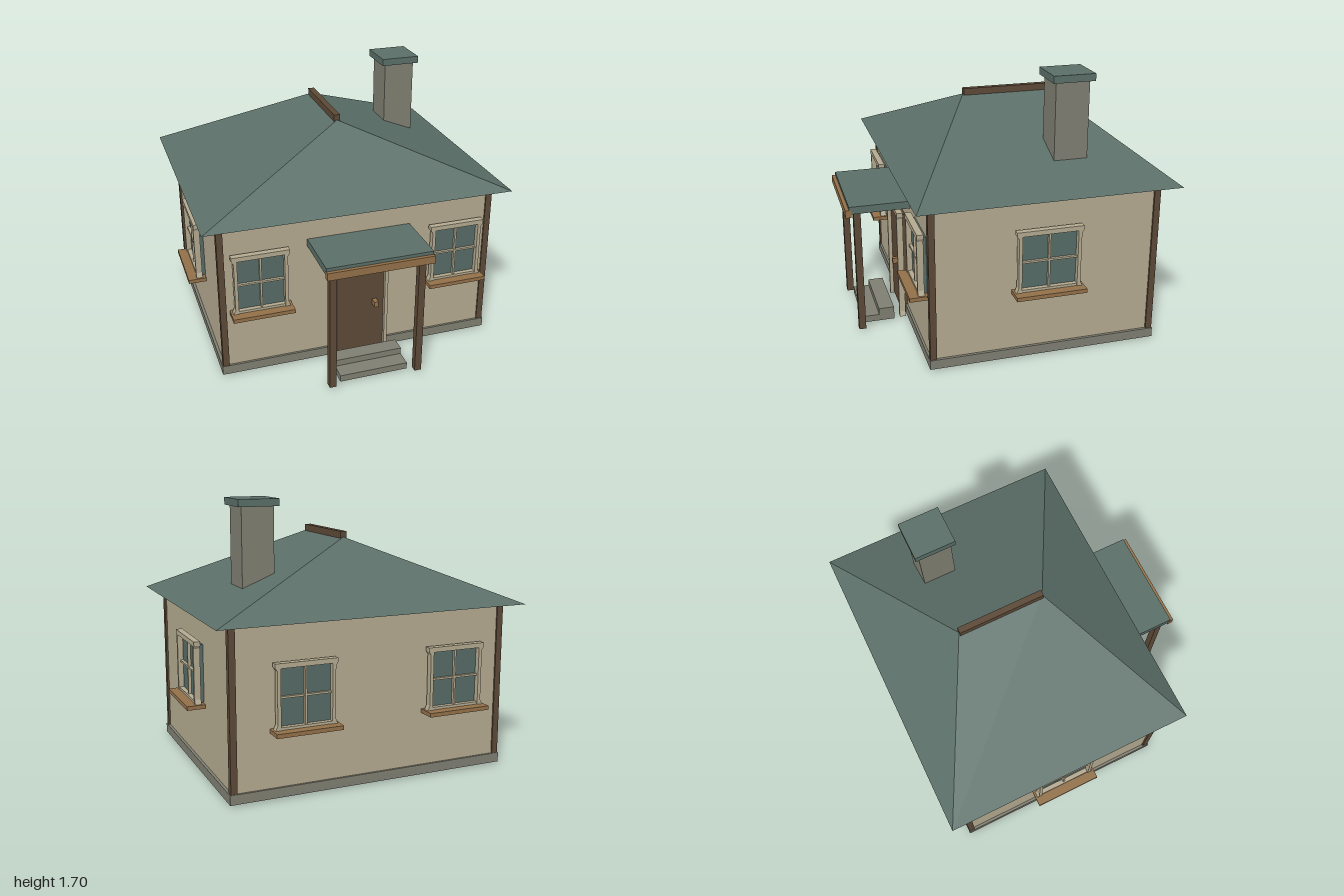
import * as THREE from 'three';

const mat = (name, color) => {
  const m = new THREE.MeshStandardMaterial({ color });
  m.name = name;
  return m;
};

export function createModel() {
  const plaster = mat('plaster', 0xb3a98f);
  const slate = mat('slate green', 0x5a6e67);
  const timber = mat('dark timber', 0x5c4937);
  const sillWood = mat('light wood', 0x927049);
  const stone = mat('stone', 0x7f7e71);
  const glass = mat('glass', 0x566b66);

  const house = new THREE.Group();
  house.name = 'cottage';

  // Box given by its minimum and maximum on each axis
  function box(name, material, [x0, x1], [y0, y1], [z0, z1], parent = house) {
    const mesh = new THREE.Mesh(new THREE.BoxGeometry(x1 - x0, y1 - y0, z1 - z0), material);
    mesh.position.set((x0 + x1) / 2, (y0 + y1) / 2, (z0 + z1) / 2);
    mesh.name = name;
    parent.add(mesh);
    return mesh;
  }

  // Casing open at the bottom, flared at the head and feet
  function casing(name, half, inner, height, innerTop, parent) {
    const neck = half - 0.013;
    const right = [[half, 0], [neck, 0.03], [neck, height - 0.045], [half, height - 0.025], [half, height]];
    const left = right.map(([x, y]) => [-x, y]).reverse();
    const opening = [[-inner, 0], [-inner, innerTop], [inner, innerTop], [inner, 0]];
    const shape = new THREE.Shape([...right, ...left, ...opening].map(([x, y]) => new THREE.Vector2(x, y)));
    const mesh = new THREE.Mesh(new THREE.ExtrudeGeometry(shape, { depth: 0.04, bevelEnabled: false }), plaster);
    mesh.name = name;
    parent.add(mesh);
    return mesh;
  }

  // Plinth, walls and corner timbers
  box('plinth', stone, [-0.9, 0.9], [0.01, 0.07], [-0.865, 0.58]);
  box('walls', plaster, [-0.882, 0.882], [0.03, 1.05], [-0.852, 0.566]);
  for (const x of [-0.874, 0.874])
    for (const z of [-0.842, 0.556])
      box('cornerPost', timber, [x - 0.02, x + 0.02], [0.07, 1.047], [z - 0.02, z + 0.02]);

  // Hip roof: a box whose top is drawn in to the ridge
  const roofGeo = new THREE.BoxGeometry(1.98, 0.405, 1.62);
  const p = roofGeo.attributes.position;
  for (let i = 0; i < p.count; i++)
    if (p.getY(i) > 0) p.setXYZ(i, 0, p.getY(i), Math.sign(p.getZ(i)) * 0.28);
  roofGeo.computeVertexNormals();
  const roof = new THREE.Mesh(roofGeo, slate);
  roof.name = 'roof';
  roof.position.set(0, 1.2475, -0.15);
  house.add(roof);
  box('ridgeCap', timber, [-0.02, 0.02], [1.435, 1.485], [-0.43, 0.13]);

  // Chimney
  box('chimney', stone, [0.47, 0.672], [1.1, 1.655], [-0.466, -0.254]);
  box('chimneyCap', slate, [0.444, 0.698], [1.655, 1.7], [-0.492, -0.23]);

  // Window standing on its sill top, facing +z before turning
  function addWindow(x, y, z, turn, width) {
    const w = new THREE.Group();
    w.name = 'window';
    w.position.set(x, y, z);
    w.rotation.y = turn;
    const half = width / 2, pane = half - 0.034;
    box('glass', glass, [-pane - 0.008, pane + 0.008], [0.005, 0.365], [-0.03, 0.006], w);
    casing('windowCasing', half, pane, 0.39, 0.36, w);
    box('bottomRail', plaster, [-pane, pane], [0, 0.016], [0, 0.035], w);
    box('uprightBar', plaster, [-0.006, 0.006], [0.016, 0.36], [0, 0.025], w);
    box('crossBar', plaster, [-pane, pane], [0.182, 0.194], [0, 0.024], w);
    box('sill', sillWood, [-half - 0.013, half + 0.013], [-0.025, 0], [-0.02, 0.095], w);
    house.add(w);
  }
  for (const x of [-0.64, 0.64]) addWindow(x, 0.465, 0.585, 0, 0.36);
  for (const x of [-0.537, 0.447]) addWindow(x, 0.428, -0.871, Math.PI, 0.385);
  addWindow(0.905, 0.465, -0.147, Math.PI / 2, 0.415);
  addWindow(-0.905, 0.428, -0.147, -Math.PI / 2, 0.415);

  // Door
  const door = new THREE.Group();
  door.name = 'door';
  door.position.z = 0.586;
  house.add(door);
  box('doorLeaf', timber, [-0.16, 0.16], [0.01, 0.72], [-0.025, 0.015], door);
  casing('doorCasing', 0.193, 0.159, 0.742, 0.715, door);
  box('doorHandle', sillWood, [0.082, 0.11], [0.355, 0.392], [0.015, 0.062], door);

  // Steps
  box('lowerStep', stone, [-0.222, 0.222], [0.01, 0.053], [0.67, 0.875]);
  box('upperStep', stone, [-0.222, 0.222], [0.053, 0.095], [0.67, 0.77]);

  // Porch canopy on two posts
  for (const x of [-0.282, 0.282])
    box('porchPost', timber, [x - 0.022, x + 0.022], [0.01, 0.835], [0.87, 0.914]);
  box('porchRoof', slate, [-0.335, 0.335], [0.828, 0.876], [0.566, 0.944]);
  box('porchFascia', sillWood, [-0.336, 0.336], [0.806, 0.855], [0.93, 0.967]);

  return house;
}
